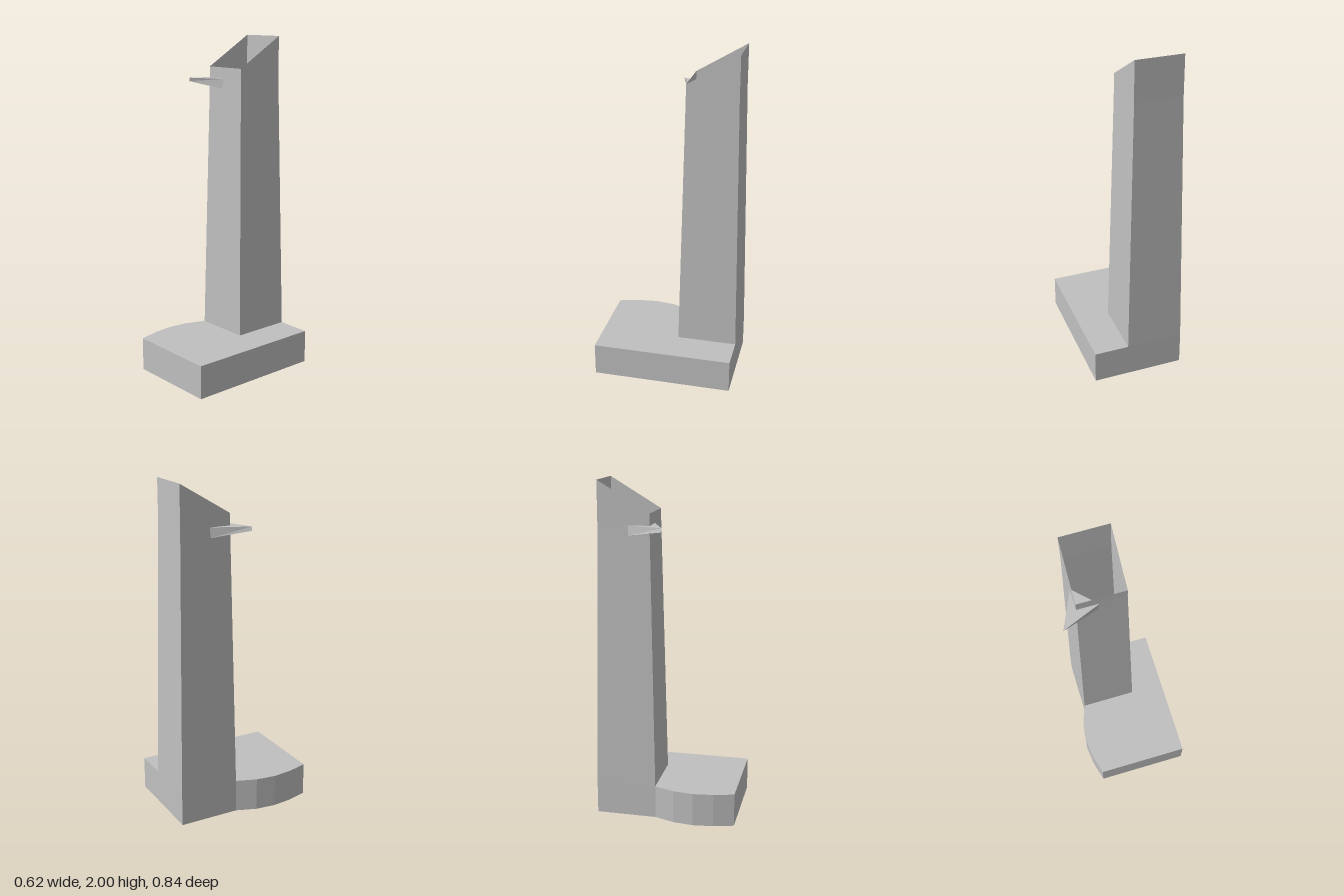
import * as THREE from 'three';

const stone = new THREE.MeshStandardMaterial({ color: 0xc0c0c0, side: THREE.DoubleSide });
stone.name = 'pale grey stone';

// Flat-faced skin joining successive rings of [x, y, z] points
function skin(name, rings, closed, capped = false) {
  const pos = [];
  const n = rings[0].length;
  for (let r = 0; r < rings.length - 1; r++) {
    for (let i = 0; i < (closed ? n : n - 1); i++) {
      const j = (i + 1) % n;
      const a = rings[r][i], b = rings[r][j], c = rings[r + 1][j], d = rings[r + 1][i];
      pos.push(...a, ...b, ...c, ...a, ...c, ...d);
    }
  }
  if (capped) {
    const lo = rings[0], hi = rings[rings.length - 1];
    for (let i = 1; i < n - 1; i++) {
      pos.push(...lo[0], ...lo[i + 1], ...lo[i], ...hi[0], ...hi[i], ...hi[i + 1]);
    }
  }
  const g = new THREE.BufferGeometry();
  g.setAttribute('position', new THREE.Float32BufferAttribute(pos, 3));
  g.computeVertexNormals();
  const m = new THREE.Mesh(g, stone);
  m.name = name;
  return m;
}

const atHeight = (pts, y) => pts.map(([x, z]) => [x, y, z]);

export function createModel() {
  const group = new THREE.Group();
  group.name = 'tower';

  // Hollow base, wrapping round the tower foot, with one bowed side
  const H = 0.2;
  const outline = [
    [-0.24, -0.06], [-0.283, 0.06], [-0.297, 0.18], [-0.283, 0.30],
    [-0.25, 0.42], [0.308, 0.42], [0.308, -0.42], [0.10, -0.42],
  ];
  group.add(skin('baseWalls', [atHeight(outline, 0), atHeight(outline, H)], false));

  const roof = new THREE.Shape([...outline, [0.10, -0.06]].map(([x, z]) => new THREE.Vector2(x, -z)));
  const roofGeo = new THREE.ShapeGeometry(roof);
  roofGeo.rotateX(-Math.PI / 2).translate(0, H, 0);
  const baseTop = new THREE.Mesh(roofGeo, stone);
  baseTop.name = 'baseTop';
  group.add(baseTop);

  // Tapered open shaft with a slanted rim
  const foot = [[-0.24, -0.06], [0.10, -0.06], [0.10, -0.42], [-0.24, -0.42]];
  const head = [[-0.215, -0.09], [0.065, -0.09], [0.065, -0.392], [-0.215, -0.392]];
  const rim = head.map(([x, z], i) => [x, i < 2 ? 1.82 : 2, z]);
  group.add(skin('shaft', [atHeight(foot, 0), atHeight(foot, H), atHeight(head, 1.76), rim], true));

  // Wedge-shaped corner balcony, thinner towards its tip
  const under = [[-0.308, 1.73, -0.004], [-0.10, 1.695, -0.085], [-0.222, 1.695, -0.213]];
  const deck = [[-0.30, 1.752, 0], [-0.09, 1.752, -0.088], [-0.215, 1.752, -0.215]];
  group.add(skin('balcony', [under, deck], true, true));

  return group;
}
